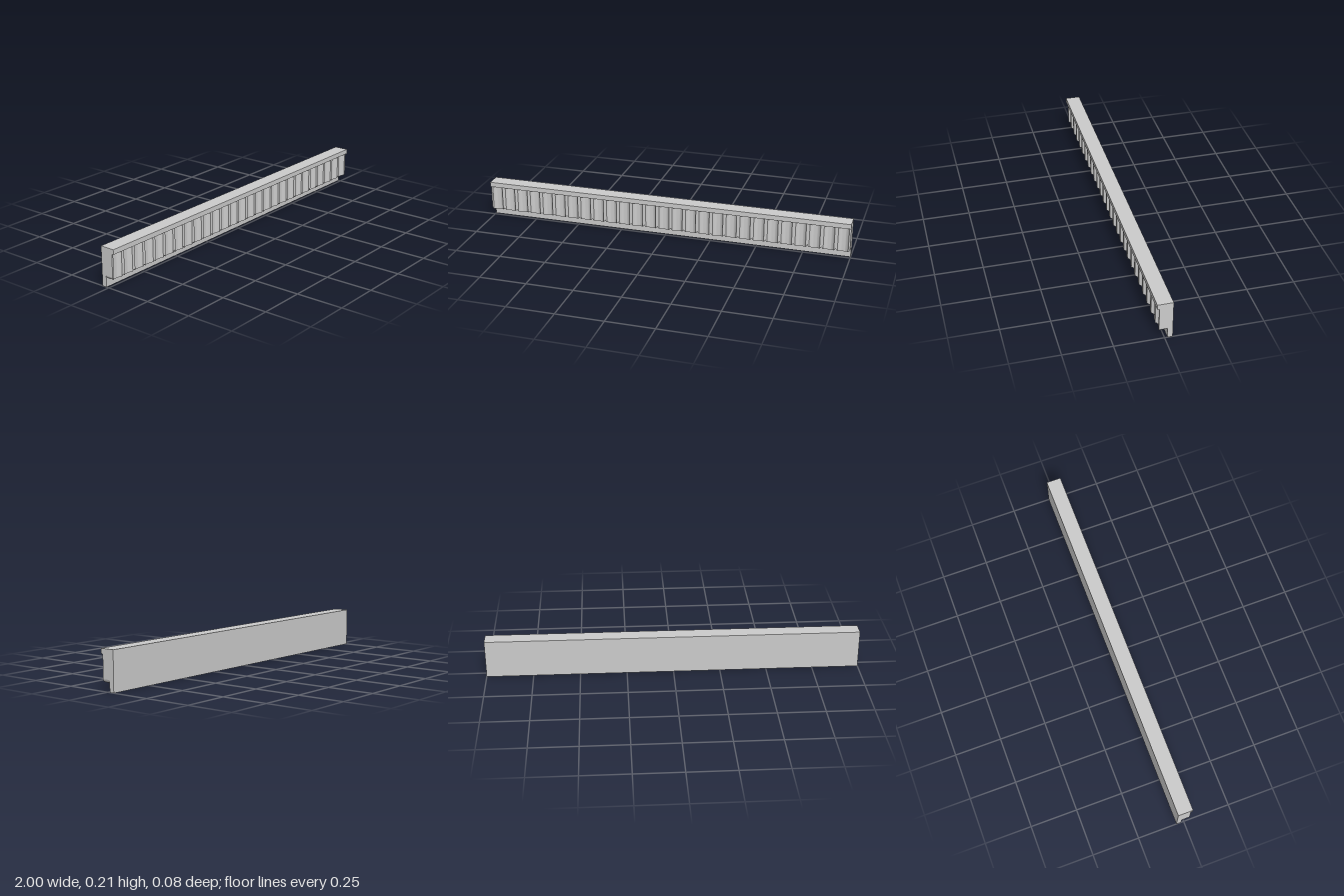
import * as THREE from 'three';
import { toCreasedNormals } from 'three/addons/utils/BufferGeometryUtils.js';

const COUNT = 27;
const HALF = 1 / COUNT;          // half of one column's pitch
const FLUTE = 0.028;             // half width of the hollow flute
const TOP = 0.181, SPRING = 0.06, LOW = 0.039;
const BACK = -0.014, FRONT = 0.029, DEPTH = 0.019;

// Hollow front face: flat fillets on both sides, circular flute between them
const R = (FLUTE * FLUTE + DEPTH * DEPTH) / (2 * DEPTH);
const frontZ = (x) => Math.abs(x) >= FLUTE - 1e-6
  ? FRONT
  : FRONT - (Math.sqrt(R * R - x * x) - (R - DEPTH));

// Rounded foot: half ellipse hanging below the spring line
const footY = (x) => SPRING - (SPRING - LOW) * Math.sqrt(Math.max(0, 1 - (x / HALF) ** 2));

function columnGeometry() {
  const edge = Math.acos(FLUTE / HALF);
  const angles = [];
  for (let i = 0; i < 4; i++) angles.push(edge * i / 4);
  for (let i = 0; i <= 14; i++) angles.push(edge + (Math.PI - 2 * edge) * i / 14);
  for (let i = 1; i <= 4; i++) angles.push(Math.PI - edge + edge * i / 4);
  const xs = angles.map((t) => -HALF * Math.cos(t));

  const pos = [];
  const quad = (a, b, c, d) => pos.push(...a, ...b, ...c, ...a, ...c, ...d);
  for (let i = 0; i < xs.length - 1; i++) {
    const [x0, x1] = [xs[i], xs[i + 1]];
    const a = [x0, footY(x0), frontZ(x0)];
    const b = [x1, footY(x1), frontZ(x1)];
    quad(a, b, [x1, TOP, b[2]], [x0, TOP, a[2]]);       // front
    quad([x0, a[1], BACK], [x1, b[1], BACK], b, a);     // underside
  }
  const geo = new THREE.BufferGeometry();
  geo.setAttribute('position', new THREE.Float32BufferAttribute(pos, 3));
  return toCreasedNormals(geo, 0.5);
}

export function createModel() {
  const group = new THREE.Group();
  const material = new THREE.MeshStandardMaterial({ color: 0xcccccc });
  const add = (name, geo, parent = group) => {
    const mesh = new THREE.Mesh(geo, material);
    mesh.name = name;
    parent.add(mesh);
    return mesh;
  };

  // Back board with its projecting top ledge, as one profile (z, y) run along x
  const profile = new THREE.Shape([
    [-0.04, 0], [BACK, 0], [BACK, TOP], [0.04, TOP], [0.04, 0.207], [-0.04, 0.207],
  ].map(([z, y]) => new THREE.Vector2(z, y)));
  const board = new THREE.ExtrudeGeometry(profile, { depth: 2, bevelEnabled: false });
  board.rotateY(-Math.PI / 2).translate(1, 0, 0);
  add('backBoardAndLedge', board);

  // Row of fluted columns
  const row = new THREE.Group();
  row.name = 'flutedColumns';
  group.add(row);
  const column = columnGeometry();
  for (let i = 0; i < COUNT; i++) {
    add('flutedColumn', column, row).position.x = -1 + HALF * (2 * i + 1);
  }

  // Flat faces closing both ends of the row
  for (const side of [-1, 1]) {
    const end = new THREE.PlaneGeometry(FRONT - BACK, TOP - SPRING);
    end.rotateY(side * Math.PI / 2).translate(side, (TOP + SPRING) / 2, (FRONT + BACK) / 2);
    add(side > 0 ? 'leftEndFace' : 'rightEndFace', end);
  }
  return group;
}
